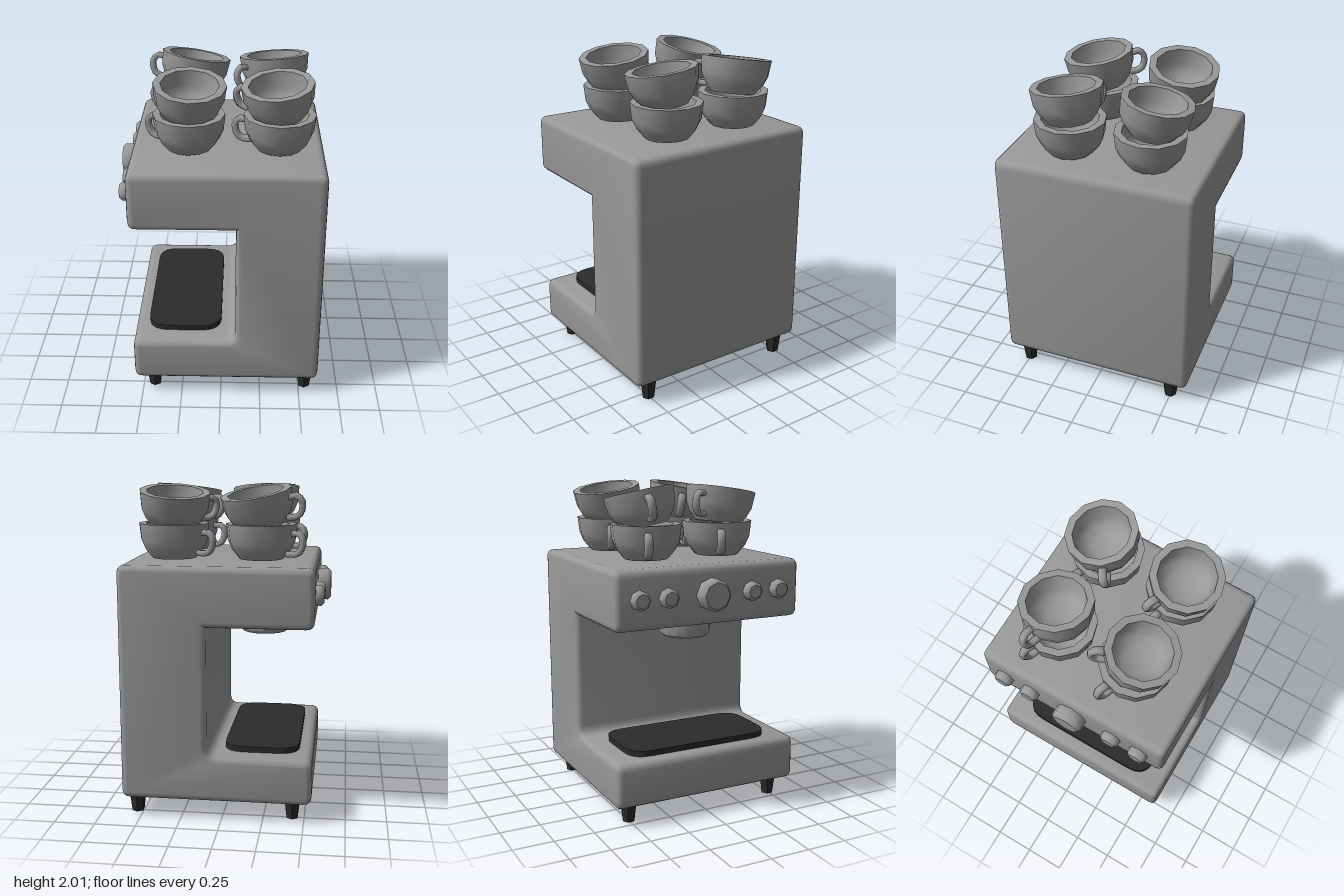
import * as THREE from 'three';
import { mergeVertices, toCreasedNormals } from 'three/addons/utils/BufferGeometryUtils.js';

const metal = new THREE.MeshStandardMaterial({ color: 0x999999 });
metal.name = 'grey metal';
const rubber = new THREE.MeshStandardMaterial({ color: 0x2b2b2b });
rubber.name = 'black rubber';

function part(name, geometry, material, x = 0, y = 0, z = 0) {
  const mesh = new THREE.Mesh(geometry, material);
  mesh.name = name;
  mesh.position.set(x, y, z);
  return mesh;
}

// Revolve a list of [radius, height] points, keeping hard edges sharp
function lathe(points, sides, crease = 0.85) {
  const profile = points.map(([r, y]) => new THREE.Vector2(r, y));
  return toCreasedNormals(new THREE.LatheGeometry(profile, sides), crease);
}

// Outline from [x, y, cornerRadius] points, each corner rounded
function roundedShape(points) {
  const shape = new THREE.Shape();
  const n = points.length;
  points.forEach(([x, y, r], i) => {
    const corner = new THREE.Vector2(x, y);
    const toward = ([px, py]) =>
      new THREE.Vector2(px, py).sub(corner).normalize().multiplyScalar(r).add(corner);
    const a = toward(points[(i + n - 1) % n]);
    const b = toward(points[(i + 1) % n]);
    if (i === 0) shape.moveTo(a.x, a.y);
    else shape.lineTo(a.x, a.y);
    if (r > 0) shape.quadraticCurveTo(x, y, b.x, b.y);
  });
  shape.closePath();
  return shape;
}

// C-shaped housing, rounded on every edge
function housing() {
  const depth = 1.23, bevel = 0.035, r = 0.05;
  const shape = roundedShape([
    [-0.545, 0.12, r], [0.615, 0.12, r], [0.615, 1.55, r], [-0.545, 1.55, r],
    [-0.545, 1.19, r], [0.09, 1.19, 0], [0.09, 0.4, 0.06], [-0.545, 0.4, r],
  ]);
  let g = new THREE.ExtrudeGeometry(shape, {
    depth: depth - 2 * bevel, bevelThickness: bevel, bevelSize: bevel,
    bevelOffset: -bevel, bevelSegments: 3, curveSegments: 4,
  });
  g.translate(0, 0, -depth / 2 + bevel);
  g.deleteAttribute('uv');
  g.deleteAttribute('normal');
  g = mergeVertices(g, 1e-4);
  return part('housing', toCreasedNormals(g, 0.7), metal);
}

// Flat drip tray with rounded corners
function dripTray() {
  const x = 0.23, z = 0.48, r = 0.13;
  const shape = roundedShape([[-x, -z, r], [x, -z, r], [x, z, r], [-x, z, r]]);
  const g = new THREE.ExtrudeGeometry(shape, { depth: 0.04, bevelEnabled: false, curveSegments: 5 });
  g.rotateX(-Math.PI / 2);
  return part('dripTray', g, rubber, -0.23, 0.395, 0);
}

function knob(name, radius, length, z) {
  const g = lathe([
    [radius, 0], [radius, length - 0.018], [radius - 0.018, length], [0, length],
  ], 8, 0.8);
  const mesh = part(name, g, metal, -0.545, 1.375, z);
  mesh.rotation.z = Math.PI / 2;
  return mesh;
}

// Cup: one thick revolved wall plus a looped handle
const CUP_HEIGHT = 0.21;
const cupGeometry = lathe([
  [0, 0], [0.135, 0], [0.18, 0.055], [0.205, 0.11], [0.216, CUP_HEIGHT],
  [0.172, CUP_HEIGHT], [0.165, 0.12], [0.14, 0.065], [0.09, 0.035], [0, 0.025],
], 12);
const handlePath = new THREE.CatmullRomCurve3([
  [0.19, 0.155], [0.245, 0.16], [0.272, 0.13], [0.27, 0.085], [0.24, 0.04], [0.17, 0.035],
].map(([r, y]) => new THREE.Vector3(r, y, 0)));
const handleGeometry = new THREE.TubeGeometry(handlePath, 10, 0.02, 6);
handleGeometry.scale(1, 1, 1.3);

// lean is the sideways shift of the rim; handle is the direction it points, both as [x, z]
function cup(name, [x, y, z], lean, handle) {
  const group = new THREE.Group();
  group.name = name;
  group.position.set(x, y, z);
  const up = new THREE.Vector3(0, 1, 0);
  const axis = new THREE.Vector3(lean[0], CUP_HEIGHT, lean[1]).normalize();
  group.quaternion.setFromUnitVectors(up, axis);
  const loop = part('cupHandle', handleGeometry, metal);
  loop.rotation.y = Math.atan2(-handle[1], handle[0]);
  group.add(part('cupBowl', cupGeometry, metal), loop);
  return group;
}

export function createModel() {
  const model = new THREE.Group();
  model.name = 'espressoMachine';
  model.add(housing(), dripTray());

  // Brewing head with a recess underneath
  model.add(part('brewHead', lathe([
    [0, 0.06], [0.07, 0.06], [0.07, 0], [0.14, 0], [0.158, 0.018], [0.158, 0.13],
  ], 16), metal, -0.207, 1.07, 0));

  // Control knobs
  model.add(knob('mainKnob', 0.1, 0.08, 0));
  for (const z of [-0.467, -0.285, 0.275, 0.46]) model.add(knob('smallKnob', 0.06, 0.05, z));

  // Tapered feet
  const footGeometry = new THREE.CylinderGeometry(0.055, 0.039, 0.13, 6).toNonIndexed();
  footGeometry.computeVertexNormals();
  for (const x of [-0.427, 0.537]) {
    for (const z of [-0.495, 0.5]) model.add(part('foot', footGeometry, rubber, x, 0.065, z));
  }

  // Four stacks of two cups: position, lean of the upper cup, both handle directions
  const stacks = [
    { at: [-0.195, 0.23], lean: [0.01, 0.035], low: [-80, -34], high: [-41, -72] },
    { at: [0.342, 0.23], lean: [-0.02, 0.025], low: [-85, -21], high: [-79, -37] },
    { at: [-0.205, -0.265], lean: [0.035, -0.033], low: [-81, -32], high: [-85, -18] },
    { at: [0.33, -0.265], lean: [-0.015, -0.035], low: [-82, -34], high: [-78, 45] },
  ];
  for (const { at: [x, z], lean, low, high } of stacks) {
    model.add(cup('lowerCup', [x, 1.563, z], [0, 0], low));
    model.add(cup('upperCup', [x, 1.757, z], lean, high));
  }
  return model;
}
